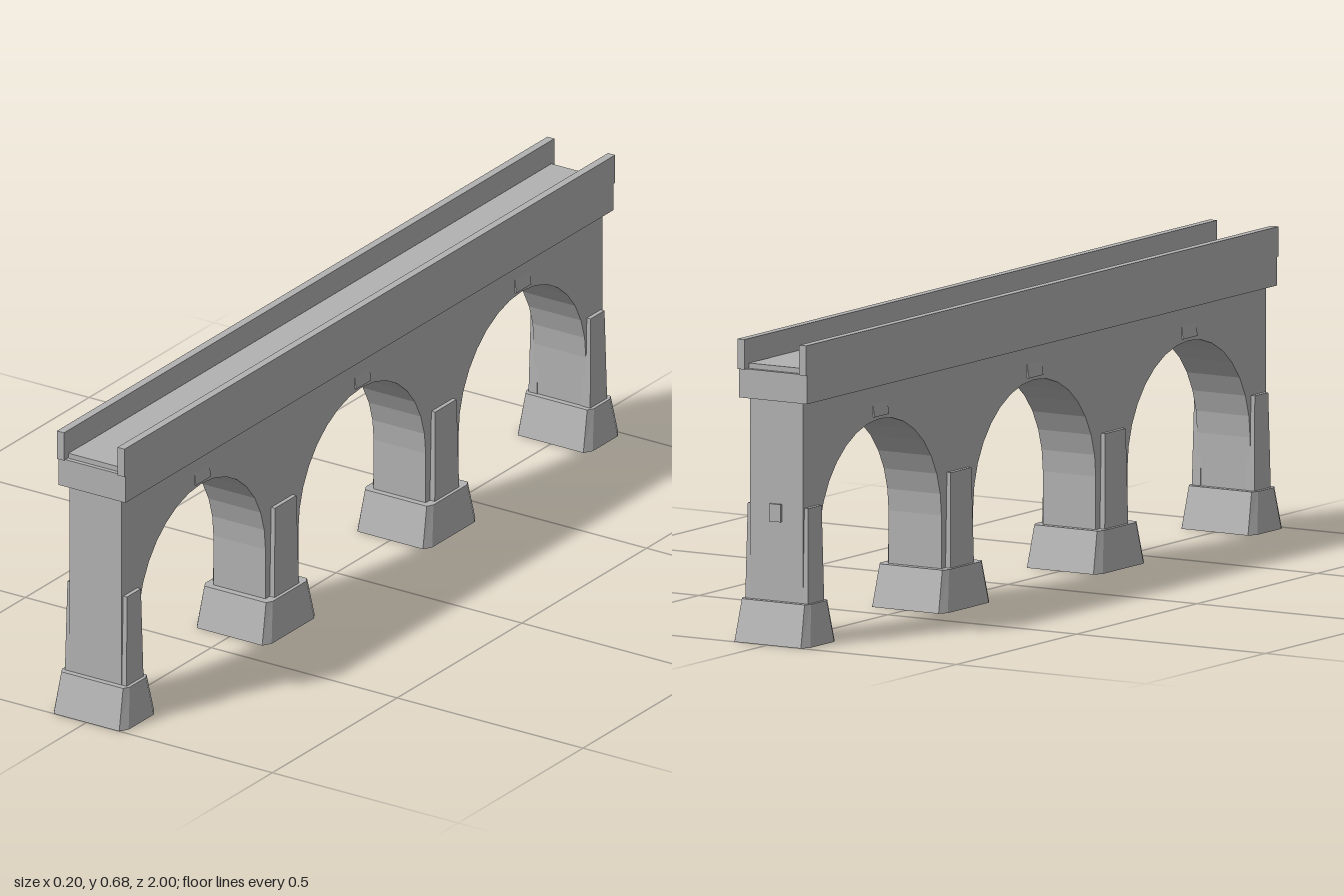
import * as THREE from 'three';

const stone = new THREE.MeshStandardMaterial({ color: 0xb2b2b2 });
stone.name = 'grey stone';
const stoneOpen = new THREE.MeshStandardMaterial({ color: 0xb2b2b2, side: THREE.DoubleSide });
stoneOpen.name = 'grey stone, open shell';

// Chamfered rectangle in plan, counter-clockwise seen from above
function plan(hx, z0, z1, cx, cz) {
  return [
    [hx, z0 + cz], [hx - cx, z0], [-hx + cx, z0], [-hx, z0 + cz],
    [-hx, z1 - cz], [-hx + cx, z1], [hx - cx, z1], [hx, z1 - cz],
  ];
}

// Straight loft between two plans, closed on top and open below
function loft(low, y0, high, y1) {
  const pos = [];
  const n = low.length;
  for (let i = 0; i < n; i++) {
    const j = (i + 1) % n;
    const a = [low[i][0], y0, low[i][1]], b = [low[j][0], y0, low[j][1]];
    const c = [high[j][0], y1, high[j][1]], d = [high[i][0], y1, high[i][1]];
    pos.push(...a, ...b, ...c, ...a, ...c, ...d);
    if (i > 0 && i < n - 1) pos.push(high[0][0], y1, high[0][1], ...d, ...c);
  }
  const g = new THREE.BufferGeometry();
  g.setAttribute('position', new THREE.Float32BufferAttribute(pos, 3));
  g.computeVertexNormals();
  return g;
}

export function createModel() {
  const model = new THREE.Group();
  model.name = 'archedViaduct';

  function add(name, geometry, material = stone) {
    const mesh = new THREE.Mesh(geometry, material);
    mesh.name = name;
    model.add(mesh);
    return mesh;
  }
  function box(name, w, y0, y1, depth, x = 0, z = 0) {
    add(name, new THREE.BoxGeometry(w, y1 - y0, depth)).position.set(x, (y0 + y1) / 2, z);
  }

  // Arched wall: side outline with three faceted openings, extruded across the width
  const arches = [-0.642, 0, 0.642];
  const half = 0.255, spring = 0.215, rise = 0.255, foot = 0.075, end = 0.963;
  const side = new THREE.Shape();
  side.moveTo(-end, foot);
  for (const c of arches) {
    side.lineTo(c - half, foot);
    for (let i = 0; i <= 16; i++) {
      const a = Math.PI * (1 - i / 16);
      side.lineTo(c + half * Math.cos(a), spring + rise * Math.sin(a));
    }
    side.lineTo(c + half, foot);
  }
  side.lineTo(end, foot);
  side.lineTo(end, 0.56);
  side.lineTo(-end, 0.56);
  const wall = new THREE.ExtrudeGeometry(side, { depth: 0.14, bevelEnabled: false });
  wall.translate(0, 0, -0.07);
  wall.rotateY(-Math.PI / 2);
  add('archedWall', wall);

  // Deck, roadway and parapets
  box('deck', 0.18, 0.55, 0.616, 1.956);
  box('roadway', 0.14, 0.61, 0.628, 1.935);
  for (const s of [-1, 1]) box('parapet', 0.019, 0.615, 0.683, 1.966, s * 0.0815);

  // Footings and pilasters: [footing z range, pilaster z range]
  const piers = [
    [0.86, 1.0, 0.895, 0.963],
    [0.217, 0.427, 0.272, 0.37],
    [-0.427, -0.217, -0.37, -0.272],
    [-1.0, -0.86, -0.963, -0.895],
  ];
  for (const [z0, z1, p0, p1] of piers) {
    add('footing', loft(
      plan(0.1, z0, z1, 0.012, 0.02), 0,
      plan(0.091, z0 + 0.023, z1 - 0.023, 0.008, 0.015), 0.095), stoneOpen);
    for (const s of [-1, 1]) {
      const strip = loft(
        [[0.083, p0], [0.06, p0], [0.06, p1], [0.083, p1]], 0.09,
        [[0.08, p0 + 0.006], [0.06, p0 + 0.006], [0.06, p1 - 0.006], [0.08, p1 - 0.006]], 0.31);
      // Turn the strip half round its own centre for the other face
      strip.translate(0, 0, -(p0 + p1) / 2);
      if (s < 0) strip.rotateY(Math.PI);
      strip.translate(0, 0, (p0 + p1) / 2);
      add('pilaster', strip);
    }
  }

  // Wedge-shaped keystones over each arch
  const wedge = new THREE.Shape();
  wedge.moveTo(0.06, 0.477);
  wedge.lineTo(0.0745, 0.477);
  wedge.lineTo(0.07, 0.508);
  wedge.lineTo(0.06, 0.508);
  for (const c of arches) {
    for (const s of [-1, 1]) {
      const g = new THREE.ExtrudeGeometry(wedge, { depth: 0.06, bevelEnabled: false });
      g.translate(0, 0, -0.03);
      if (s < 0) g.rotateY(Math.PI);
      add('keystone', g).position.z = c;
    }
  }

  // Small blank plaque on the rear end
  box('plaque', 0.03, 0.275, 0.315, 0.008, 0, -0.966);

  return model;
}
